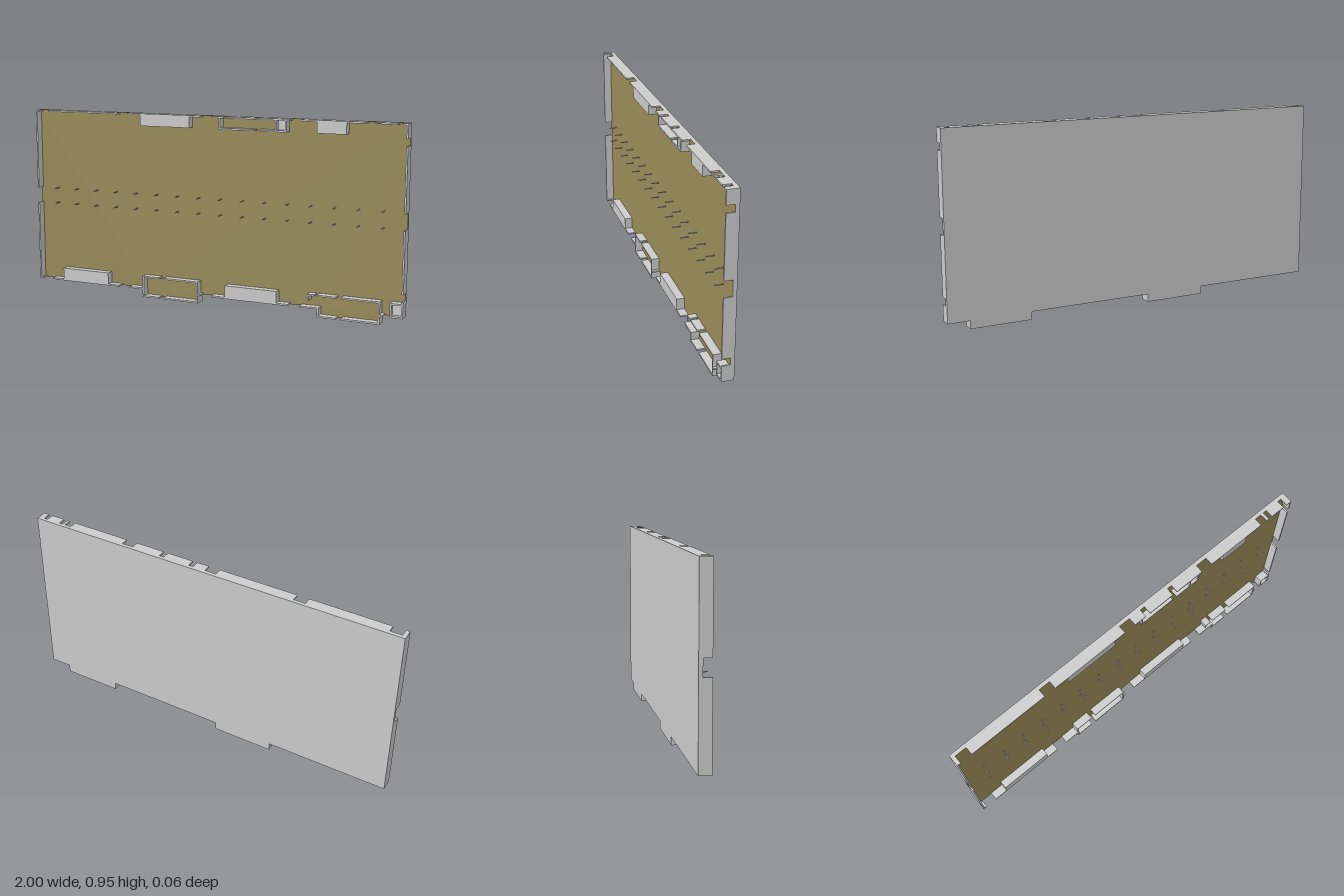
import * as THREE from 'three';

const BACK = -0.03, FACE = -0.011, FRONT = 0.03, T = 0.008;
const BASE = 0.04, TOP = 0.95;

export function createModel() {
  const model = new THREE.Group();
  const grey = new THREE.MeshStandardMaterial({ color: 0xcccccc, flatShading: true });
  const olive = new THREE.MeshStandardMaterial({ color: 0x998c58, flatShading: true });

  // Box given by its limits in x and y, rising from the panel face
  function block(name, x0, x1, y0, y1, z1 = FRONT) {
    const geo = new THREE.BoxGeometry(x1 - x0, y1 - y0, z1 - FACE);
    const mesh = new THREE.Mesh(geo, grey);
    mesh.position.set((x0 + x1) / 2, (y0 + y1) / 2, (FACE + z1) / 2);
    mesh.name = name;
    model.add(mesh);
  }

  // Splits the run a..b at the gaps and calls add for each remaining piece
  function pieces(a, b, gaps, add) {
    let start = a;
    for (const [g0, g1] of [...gaps].sort((p, q) => p[0] - q[0])) {
      if (g1 <= a || g0 >= b) continue;
      if (g0 > start) add(start, g0);
      start = Math.max(start, g1);
    }
    if (start < b) add(start, b);
  }
  const wallX = (name, y, a, b, gaps = []) =>
    pieces(a, b, gaps, (p, q) => block(name, p, q, y, y + T));
  const wallY = (name, x, a, b, gaps = []) =>
    pieces(a, b, gaps, (p, q) => block(name, x, x + T, p, q));

  // Back panel with two tabs along the lower edge
  const tabs = [[-0.37, -0.055], [0.58, 0.89]];
  const outline = new THREE.Shape();
  outline.moveTo(-1, BASE);
  for (const [a, b] of tabs) {
    outline.lineTo(a, BASE);
    outline.lineTo(a, 0);
    outline.lineTo(b, 0);
    outline.lineTo(b, BASE);
  }
  outline.lineTo(1, BASE);
  outline.lineTo(1, TOP);
  outline.lineTo(-1, TOP);
  outline.closePath();
  const panel = new THREE.Mesh(
    new THREE.ExtrudeGeometry(outline, { depth: FACE - BACK, bevelEnabled: false }), grey);
  panel.position.z = BACK;
  panel.name = 'backPanel';
  model.add(panel);

  // Coloured lining of the inside
  const lining = new THREE.Mesh(new THREE.ShapeGeometry(outline), olive);
  lining.position.z = FACE + 0.0006;
  lining.name = 'innerLining';
  model.add(lining);

  // Notched rim
  const shared = [[-0.98, -0.92], [-0.51, -0.45], [-0.04, 0.02], [0.43, 0.49]];
  const topGaps = [[0.085, 0.11], [0.25, 0.275], [0.805, 0.84], [0.855, 0.875], [0.95, 0.97]];
  const middle = [0.455, 0.535];
  wallX('topWall', TOP - T, -1, 1, [...shared, ...topGaps]);
  wallX('bottomWall', BASE, -1, 1, [...shared, ...tabs, [0.905, 0.935]]);
  wallY('rightWall', -1, BASE, TOP, [middle]);
  wallY('leftWall', 1 - T, BASE, TOP, [[0.12, 0.155], middle, [0.845, 0.88]]);

  // Framed pockets over the tabs
  const tabGaps = [[-0.275, -0.25], [0.565, 0.58], [0.675, 0.70]];
  for (const [a, b] of tabs) {
    wallX('tabBottomWall', 0, a, b, tabGaps);
    wallY('tabSideWall', b - T, 0, 0.11);
  }
  wallY('tabSideWall', -0.37, 0, 0.11);
  wallY('tabSideWall', 0.58, 0, BASE + T);
  wallX('tabTopWall', 0.103, -0.37, -0.055, tabGaps);
  wallX('tabTopWall', 0.103, 0.53, 0.89, tabGaps);
  wallY('tabCornerWall', 0.53, 0.08, 0.11);

  // Pocket on the upper edge
  wallX('upperPocketWall', 0.886, 0.06, 0.41, [[0.25, 0.275]]);
  wallY('upperPocketSide', 0.06, 0.886, TOP);

  // Small open cells with a raised floor
  for (const [x0, x1, y0, y1] of [[0.355, 0.413, 0.886, TOP], [0.937, 1, BASE, 0.11]]) {
    block('cellFloor', x0, x1, y0, y1, 0.005);
    wallY('cellWall', x0, y0, y1);
    wallY('cellWall', x1 - T, y0, y1);
    wallX('cellWall', y0 > 0.5 ? y0 : y1 - T, x0, x1);
  }

  // Solid blocks along the edges
  for (const [a, b] of [[-0.375, -0.1], [0.565, 0.71]]) block('upperBlock', a, b, 0.888, TOP);
  for (const [a, b] of [[-0.85, -0.575], [0.095, 0.37]]) block('lowerBlock', a, b, BASE, 0.107);

  // Two rows of thin pins
  const pinGeo = new THREE.CylinderGeometry(0.003, 0.003, FRONT - FACE, 8).rotateX(Math.PI / 2);
  for (let i = 0; i < 16; i++) {
    for (const y of [0.457, 0.536]) {
      const pin = new THREE.Mesh(pinGeo, grey);
      pin.position.set(-0.89 + i * 0.1185, y, (FACE + FRONT) / 2);
      pin.name = 'pin';
      model.add(pin);
    }
  }
  return model;
}
